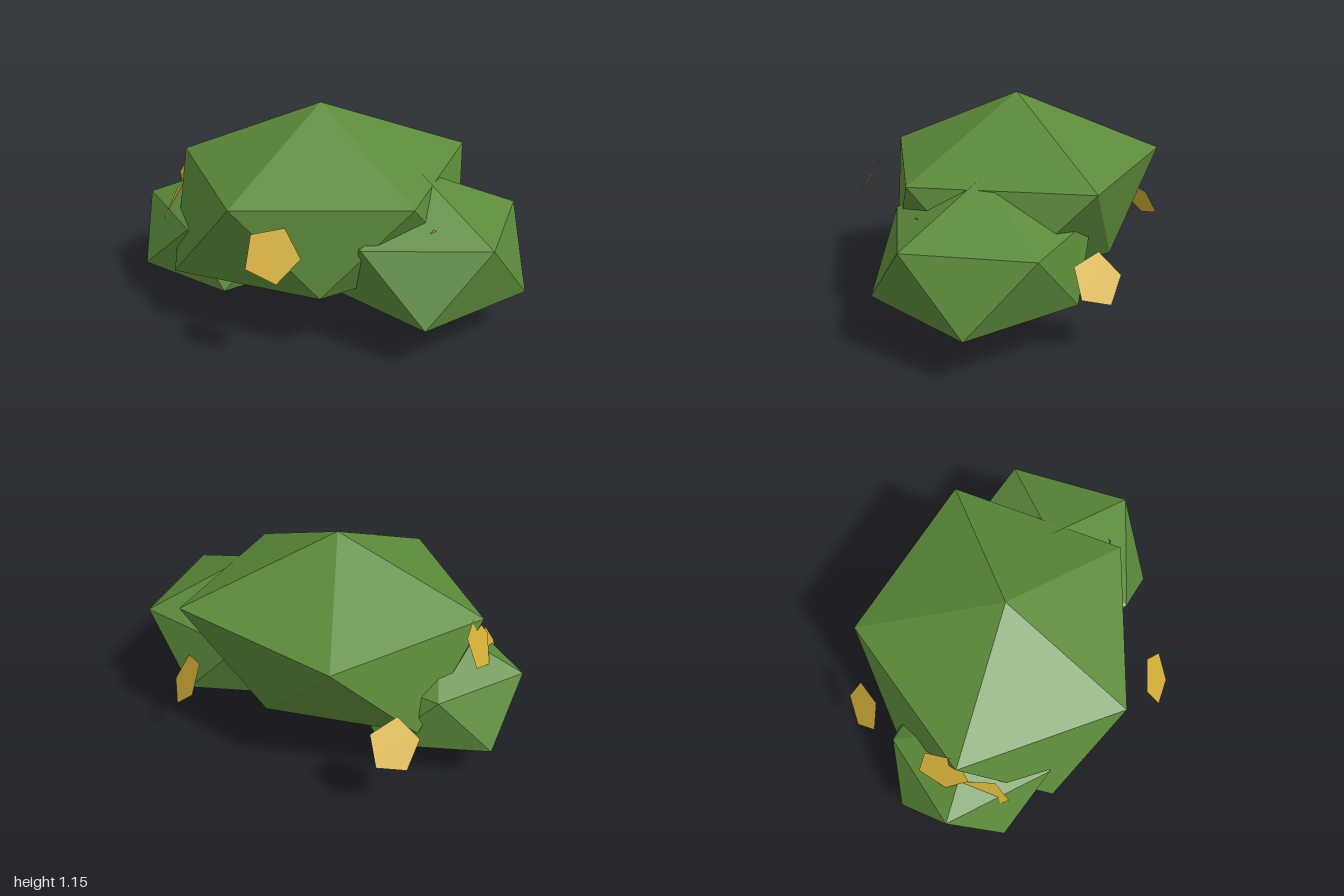
import * as THREE from 'three';

const V = (p) => new THREE.Vector3(...p);

// Irregular twenty-sided clump: top, upper ring, lower ring, bottom (rings run from +x towards +z)
function clumpGeometry(top, upper, lower, bottom) {
  const pos = [];
  const face = (...pts) => pts.forEach((p) => pos.push(...p));
  for (let i = 0; i < 5; i++) {
    const j = (i + 1) % 5;
    face(top, upper[j], upper[i]);
    face(upper[i], upper[j], lower[i]);
    face(lower[i], upper[j], lower[j]);
    face(bottom, lower[i], lower[j]);
  }
  const g = new THREE.BufferGeometry();
  g.setAttribute('position', new THREE.Float32BufferAttribute(pos, 3));
  g.computeVertexNormals();
  return g;
}

export function createModel() {
  const model = new THREE.Group();
  model.name = 'floweringBush';

  const leafGreen = new THREE.MeshStandardMaterial({ color: 0x5c8a3a, flatShading: true });
  leafGreen.name = 'leafGreen';
  const flowerYellow = new THREE.MeshStandardMaterial({ color: 0xd4af37, side: THREE.DoubleSide });
  flowerYellow.name = 'flowerYellow';

  // Leaf clumps
  const clumps = {
    mainClump: [
      [-0.05, 1.155, 0.045],
      [[0.72, 0.80, 0.045], [0.18, 0.80, 0.77], [-0.70, 0.81, 0.51], [-0.69, 0.81, -0.42], [0.20, 0.83, -0.76]],
      [[0.48, 0.34, 0.44], [-0.31, 0.295, 0.825], [-0.80, 0.34, 0.04], [-0.21, 0.34, -0.50], [0.55, 0.35, -0.42]],
      [-0.05, 0.08, 0.045],
    ],
    leftClump: [
      [0.44, 0.86, -0.22],
      [[1.0, 0.61, -0.23], [0.60, 0.605, 0.28], [0.0, 0.61, 0.10], [0.0, 0.61, -0.55], [0.61, 0.61, -0.765]],
      [[0.91, 0.245, 0.12], [0.27, 0.265, 0.245], [-0.10, 0.25, -0.22], [0.27, 0.265, -0.71], [0.91, 0.245, -0.575]],
      [0.44, 0.10, -0.22],
    ],
    rightClump: [
      [-0.50, 0.73, 0.375],
      [[0.0, 0.52, 0.37], [-0.28, 0.525, 0.75], [-0.88, 0.525, 0.65], [-0.85, 0.525, 0.12], [-0.35, 0.52, -0.08]],
      [[-0.08, 0.215, 0.66], [-0.64, 0.215, 0.83], [-1.0, 0.21, 0.37], [-0.64, 0.21, -0.08], [-0.08, 0.21, 0.10]],
      [-0.49, 0.0, 0.375],
    ],
  };
  for (const [name, parts] of Object.entries(clumps)) {
    const mesh = new THREE.Mesh(clumpGeometry(...parts), leafGreen);
    mesh.name = name;
    model.add(mesh);
  }

  // Five-sided flowers: centre, facing direction, one petal tip
  const flowerGeometry = new THREE.CircleGeometry(0.142, 5);
  const flowers = [
    [[0.453, 0.65, 0.70], [0.61, 0.51, 0.61], [0.445, 0.765, 0.617]],
    [[-0.746, 0.704, 0.45], [-0.76, 0.40, 0.51], [-0.766, 0.78, 0.35]],
    [[-0.64, 0.527, 0.64], [-0.65, 0.36, 0.66], [-0.564, 0.65, 0.65]],
    [[-0.87, 0.40, -0.16], [-0.85, 0.52, -0.13], [-0.81, 0.52, -0.10]],
    [[0.188, 0.39, -0.76], [0.20, 0.50, -0.84], [0.166, 0.265, -0.834]],
    [[0.725, 0.54, -0.08], [0.90, -0.16, 0.20], [0.745, 0.68, -0.06]],
  ];
  flowers.forEach(([centre, facing, tip], i) => {
    const n = V(facing).normalize();
    const x = V(tip).sub(V(centre)).projectOnPlane(n).normalize();
    const y = new THREE.Vector3().crossVectors(n, x);
    const mesh = new THREE.Mesh(flowerGeometry, flowerYellow);
    mesh.quaternion.setFromRotationMatrix(new THREE.Matrix4().makeBasis(x, y, n));
    mesh.position.set(...centre);
    mesh.name = `flower${i + 1}`;
    model.add(mesh);
  });

  return model;
}
